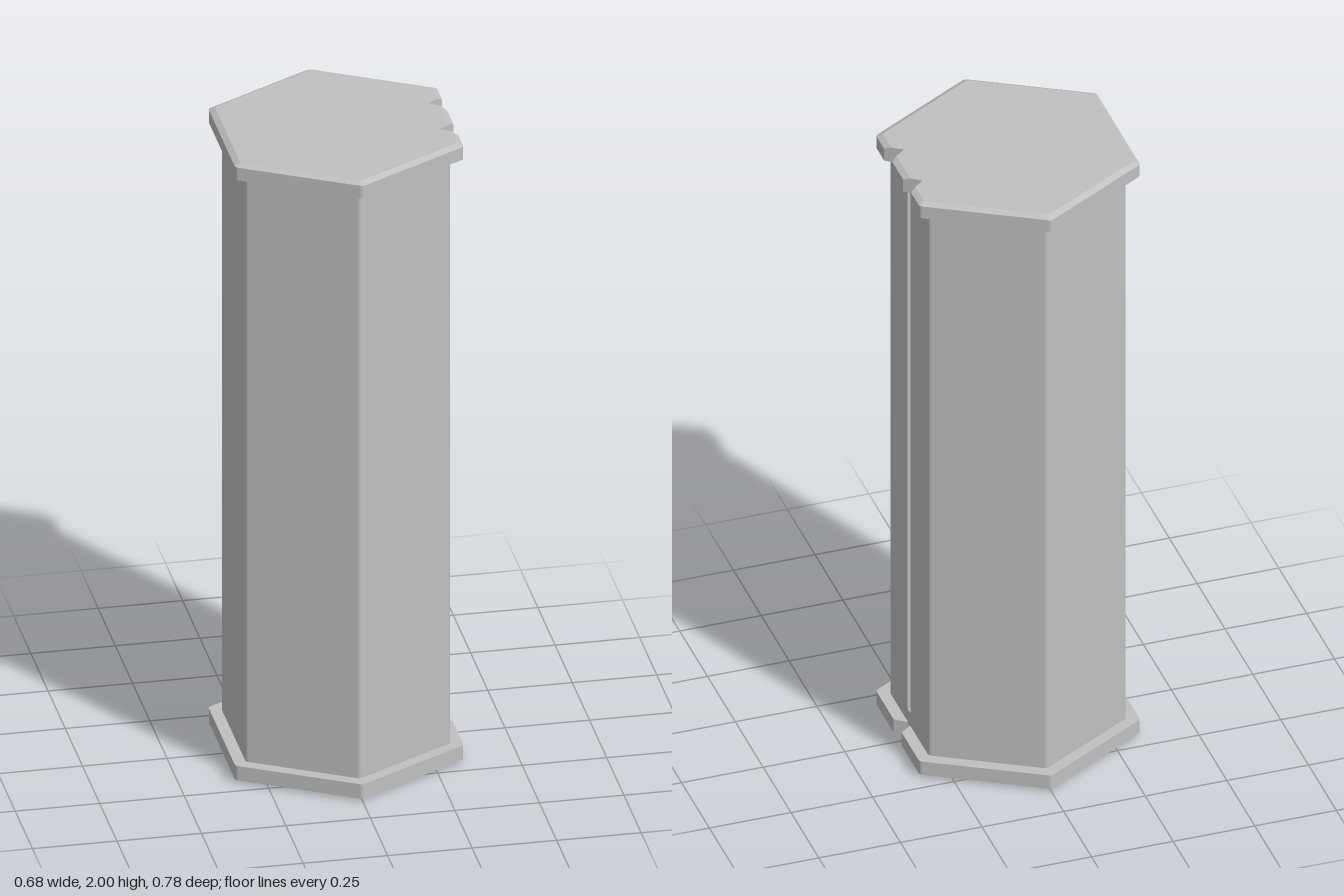
import * as THREE from 'three';

const CAP = 0.338, BODY = 0.303, CORNER = 0.015;
const CHAMFER_W = 0.017, CHAMFER_H = 0.009;
const NOTCH_TIP = 0.29, NOTCH_HALF = 0.036;

// Hexagon in (x, z) with softly rounded corners; extra points run along the +x side by rising z
function hexOutline(apothem, cut = []) {
  const pts = [];
  const centre = (apothem - CORNER) / Math.cos(Math.PI / 6);
  for (let k = 0; k < 6; k++) {
    const a = Math.PI / 6 + k * Math.PI / 3;
    for (let s = -2; s <= 2; s++) {
      const b = a + s * Math.PI / 12;
      pts.push(new THREE.Vector2(
        centre * Math.cos(a) + CORNER * Math.cos(b),
        centre * Math.sin(a) + CORNER * Math.sin(b)));
    }
  }
  return pts.concat(cut.map(([x, z]) => new THREE.Vector2(x, z)));
}

// V-shaped notches whose flanks stay put when the rim is inset
function notches(apothem, zs) {
  const h = NOTCH_HALF * (apothem - NOTCH_TIP) / (CAP - NOTCH_TIP);
  return zs.flatMap(z => [[apothem, z - h], [NOTCH_TIP, z], [apothem, z + h]]);
}

// Closed solid through rings [y, outline], listed from bottom to top
function loft(rings) {
  const pos = [];
  const put = (y, p) => pos.push(p.x, y, p.y);
  for (let r = 0; r + 1 < rings.length; r++) {
    const [y0, lo] = rings[r], [y1, hi] = rings[r + 1];
    lo.forEach((p, i) => {
      const j = (i + 1) % lo.length;
      put(y0, p); put(y1, hi[i]); put(y1, hi[j]);
      put(y0, p); put(y1, hi[j]); put(y0, lo[j]);
    });
  }
  for (const [ring, up] of [[rings[0], false], [rings[rings.length - 1], true]]) {
    const [y, pts] = ring;
    for (const f of THREE.ShapeUtils.triangulateShape(pts.slice(), [])) {
      const [a, b, c] = f.map(i => pts[i]);
      const facesDown = (b.x - a.x) * (c.y - a.y) - (b.y - a.y) * (c.x - a.x) > 0;
      for (const p of facesDown === up ? [a, c, b] : [a, b, c]) put(y, p);
    }
  }
  const geo = new THREE.BufferGeometry();
  geo.setAttribute('position', new THREE.Float32BufferAttribute(pos, 3));
  geo.computeVertexNormals();
  return geo;
}

export function createModel() {
  const model = new THREE.Group();
  model.name = 'hexagonalCase';
  const grey = new THREE.MeshStandardMaterial({ color: 0xc0c0c0 });
  grey.name = 'plain grey';
  const add = (name, geo, parent = model) => {
    const mesh = new THREE.Mesh(geo, grey);
    mesh.name = name;
    parent.add(mesh);
  };

  // Column, with a narrow groove down the middle of its +x side
  const body = new THREE.Group();
  body.name = 'body';
  model.add(body);
  const plain = hexOutline(BODY);
  const floor = BODY - 0.02, w = 0.013;
  const grooved = hexOutline(BODY, [[BODY, -w], [floor, -w], [floor, w], [BODY, w]]);
  add('bodyBottom', loft([[0.05, plain], [0.1, plain]]), body);
  add('bodyGrooved', loft([[0.1, grooved], [1.91, grooved]]), body);
  add('bodyTop', loft([[1.91, plain], [1.95, plain]]), body);

  // End plates, chamfered on the outer rim: two notches on top, one at the bottom
  const plate = (inset, zs) => hexOutline(CAP - inset, notches(CAP - inset, zs));
  const pair = [-0.085, 0.085];
  add('topCap', loft([
    [1.95, plate(0, pair)], [2 - CHAMFER_H, plate(0, pair)], [2, plate(CHAMFER_W, pair)]]));
  add('bottomCap', loft([
    [0, plate(CHAMFER_W, [0])], [CHAMFER_H, plate(0, [0])], [0.055, plate(0, [0])]]));

  return model;
}
